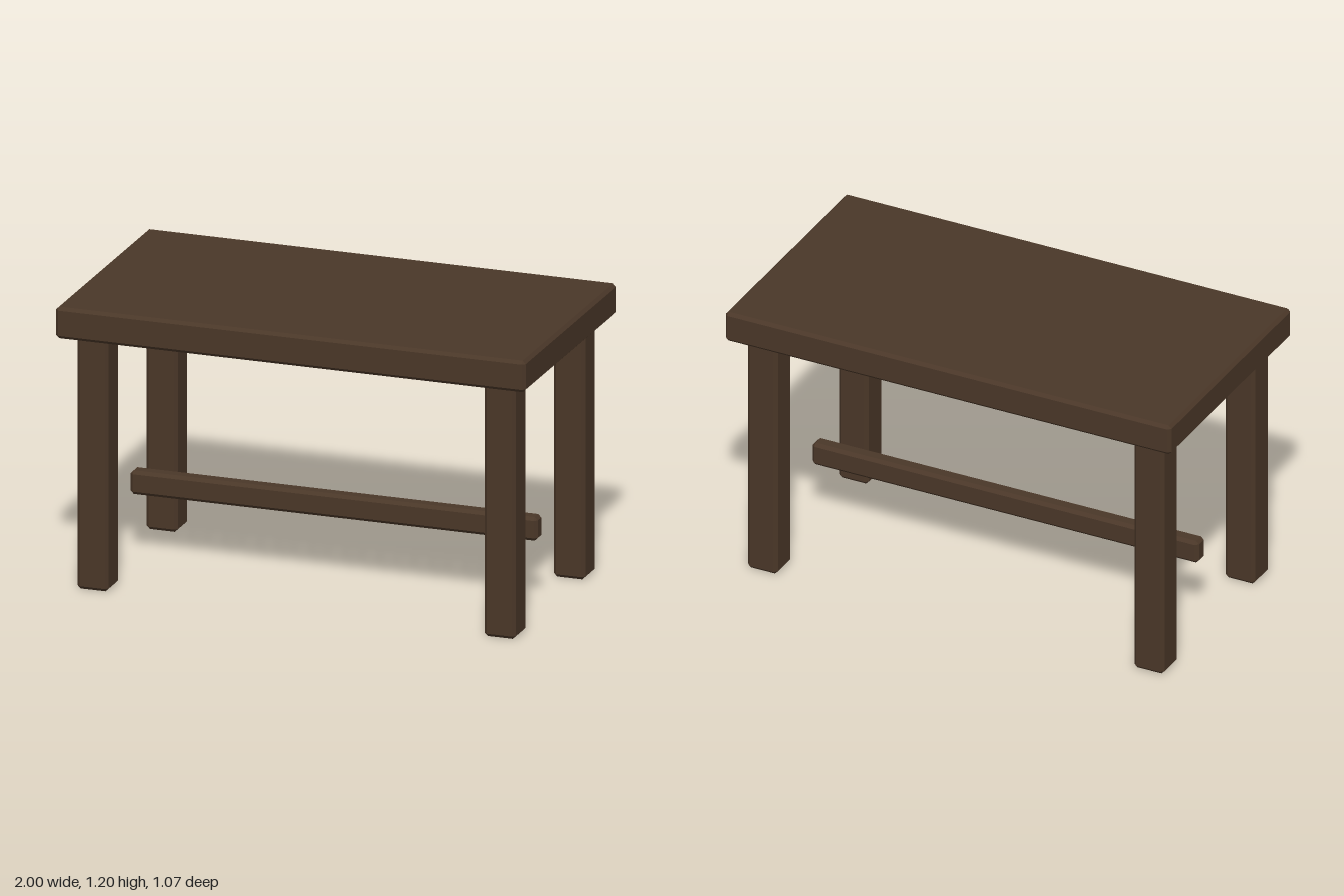
import * as THREE from 'three';
import { ConvexGeometry } from 'three/addons/geometries/ConvexGeometry.js';

const CHAMFER = 0.0133;
const wood = new THREE.MeshStandardMaterial({ color: 0x4a3728 });

// Box with every edge cut at 45 degrees: each corner becomes three points.
function chamferedBox(name, w, h, d, x, y, z) {
  const points = [];
  for (const sx of [-1, 1]) for (const sy of [-1, 1]) for (const sz of [-1, 1]) {
    for (let axis = 0; axis < 3; axis++) {
      const inset = [0, 1, 2].map((i) => (i === axis ? 0 : CHAMFER));
      points.push(new THREE.Vector3(
        sx * (w / 2 - inset[0]),
        sy * (h / 2 - inset[1]),
        sz * (d / 2 - inset[2]),
      ));
    }
  }
  const mesh = new THREE.Mesh(new ConvexGeometry(points), wood);
  mesh.name = name;
  mesh.position.set(x, y, z);
  return mesh;
}

export function createModel() {
  const table = new THREE.Group();
  table.name = 'table';

  // Thick slab top
  table.add(chamferedBox('tableTop', 2, 0.133, 1.067, 0, 1.1335, 0));

  // Four square legs
  for (const [sz, end] of [[1, 'front'], [-1, 'back']]) {
    for (const [sx, side] of [[1, 'Left'], [-1, 'Right']]) {
      table.add(chamferedBox(`${end}${side}Leg`, 0.133, 1.067, 0.133, sx * 0.867, 0.5335, sz * 0.4));
    }
  }

  // Long stretcher along the middle
  table.add(chamferedBox('stretcher', 1.733, 0.1, 0.067, 0, 0.32, 0));

  return table;
}
